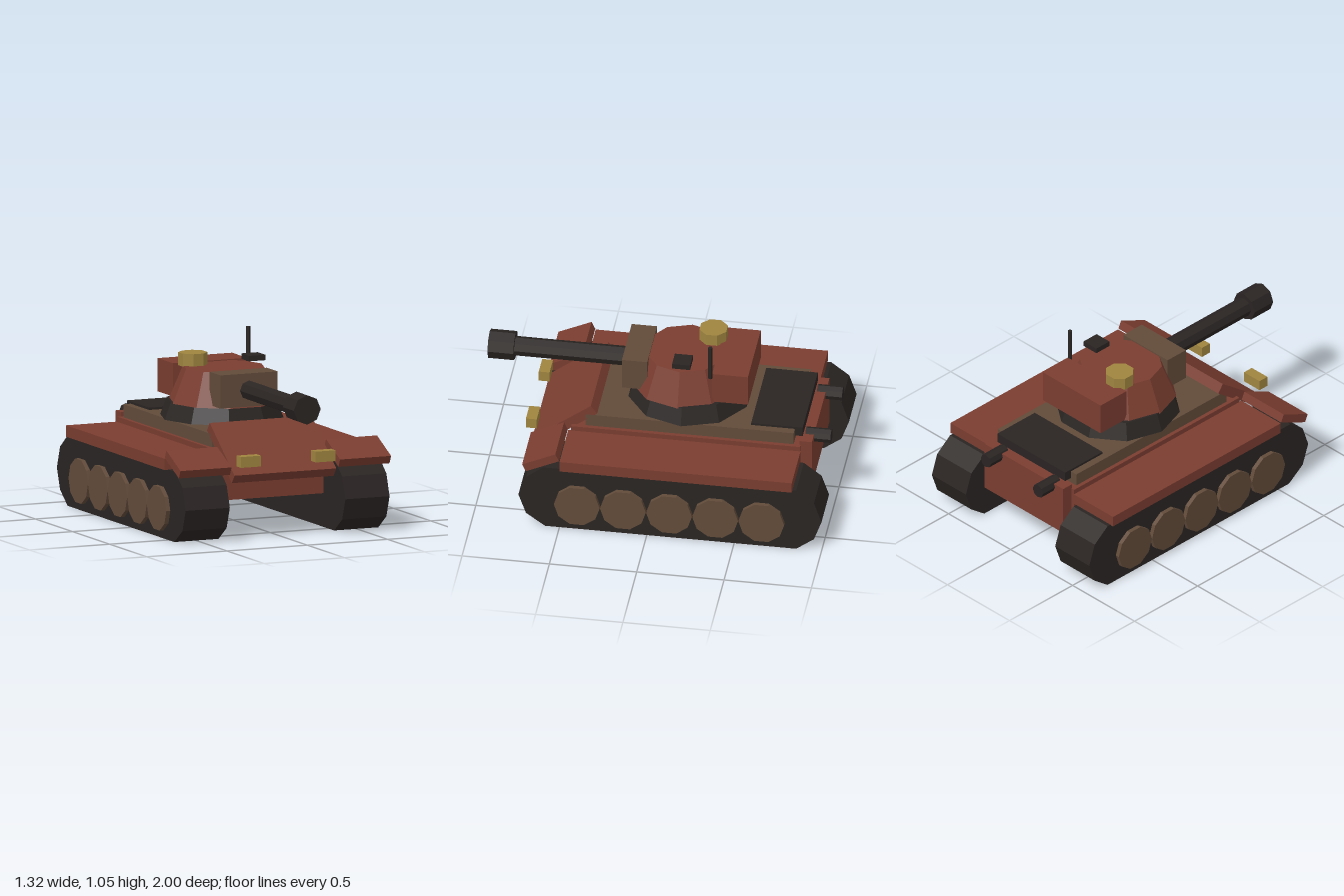
import * as THREE from 'three';

const material = (color, rough = 0.9) =>
  new THREE.MeshStandardMaterial({ color, flatShading: true });

export function createModel() {
  const model = new THREE.Group();
  const red = material(0x7a3d30);
  const dark = material(0x2a2523);
  const brown = material(0x624b3a);
  const gold = material(0xa08540);

  const add = (name, geometry, mat, x, y, z) => {
    const mesh = new THREE.Mesh(geometry, mat);
    mesh.name = name;
    mesh.position.set(x, y, z);
    model.add(mesh);
    return mesh;
  };
  // Box given by its limits on each axis
  const box = (name, mat, [x0, x1], [y0, y1], [z0, z1]) =>
    add(name, new THREE.BoxGeometry(x1 - x0, y1 - y0, z1 - z0), mat,
      (x0 + x1) / 2, (y0 + y1) / 2, (z0 + z1) / 2);
  // Cylinder lying along z
  const rod = (name, mat, radius, sides, x, y, [z0, z1]) =>
    add(name, new THREE.CylinderGeometry(radius, radius, z1 - z0, sides).rotateX(Math.PI / 2),
      mat, x, y, (z0 + z1) / 2);

  // Hull
  box('hull', red, [-0.34, 0.34], [0.2, 0.495], [-0.83, 0.48]);
  box('deck', brown, [-0.317, 0.317], [0.48, 0.57], [-0.79, 0.4]);
  box('engineCover', dark, [-0.273, 0.273], [0.525, 0.583], [-0.835, -0.54]);
  box('rearPlate', red, [-0.317, 0.317], [0.22, 0.52], [-0.895, -0.825]);
  const glacis = add('glacis', new THREE.BoxGeometry(0.634, 0.06, 0.42), red, 0, 0.479, 0.52);
  glacis.rotation.x = 0.65;

  // Track outline, drawn as (z, y)
  const outline = new THREE.Shape([
    [0.583, 0], [0.692, 0.078], [0.735, 0.2], [0.692, 0.325], [0.594, 0.403],
    [-0.855, 0.403], [-0.957, 0.325], [-1, 0.2], [-0.957, 0.078], [-0.855, 0],
  ].map(([z, y]) => new THREE.Vector2(z, y)));
  const trackGeometry = new THREE.ExtrudeGeometry(outline, { depth: 0.275, bevelEnabled: false })
    .rotateY(-Math.PI / 2).translate(0.1375, 0, 0);
  const wheelGeometry = new THREE.CylinderGeometry(0.131, 0.131, 0.06, 10).rotateZ(Math.PI / 2);

  // Running gear, fenders, lights and exhausts on both sides
  for (const side of [-1, 1]) {
    const label = side > 0 ? 'left' : 'right';
    add(label + 'Track', trackGeometry, dark, side * 0.4975, 0, 0);
    for (let i = 0; i < 5; i++) {
      add(label + 'Wheel' + (i + 1), wheelGeometry, brown, side * 0.63, 0.171, 0.397 - i * 0.264);
    }
    add(label + 'Fender', new THREE.BoxGeometry(0.318, 0.065, 1.33), red, side * 0.497, 0.433, -0.168);
    const flap = add(label + 'FenderFlap', new THREE.BoxGeometry(0.318, 0.05, 0.21), red,
      side * 0.497, 0.448, 0.605);
    flap.rotation.x = 0.442;
    add(label + 'Headlight', new THREE.BoxGeometry(0.125, 0.062, 0.062), gold, side * 0.232, 0.456, 0.715);
    rod(label + 'Exhaust', dark, 0.041, 8, side * 0.21, 0.5, [-0.99, -0.845]);
  }

  // Turret
  const tenSided = (top, bottom, height) =>
    new THREE.CylinderGeometry(top, bottom, height, 10).rotateY(Math.PI / 2);
  add('turretRing', tenSided(0.318, 0.356, 0.1), dark, 0, 0.625, -0.15);
  add('turretBody', tenSided(0.235, 0.317, 0.195), red, 0, 0.765, -0.125);
  box('turretBustle', red, [-0.232, 0.232], [0.678, 0.868], [-0.515, -0.31]);
  box('mantlet', brown, [-0.178, 0.178], [0.68, 0.87], [0.07, 0.215]);

  // Gun
  rod('gunBarrel', dark, 0.056, 8, 0, 0.774, [0.15, 0.87]);
  rod('muzzle', dark, 0.084, 8, 0, 0.774, [0.852, 1]);

  // Roof fittings
  add('hatch', new THREE.CylinderGeometry(0.083, 0.083, 0.075, 8).rotateY(Math.PI / 8),
    gold, -0.129, 0.895, -0.262);
  box('roofSight', dark, [0.137, 0.24], [0.887, 0.918], [-0.185, -0.082]);
  add('antenna', new THREE.CylinderGeometry(0.013, 0.013, 0.21, 6), dark, 0.233, 0.945, -0.3);

  return model;
}
